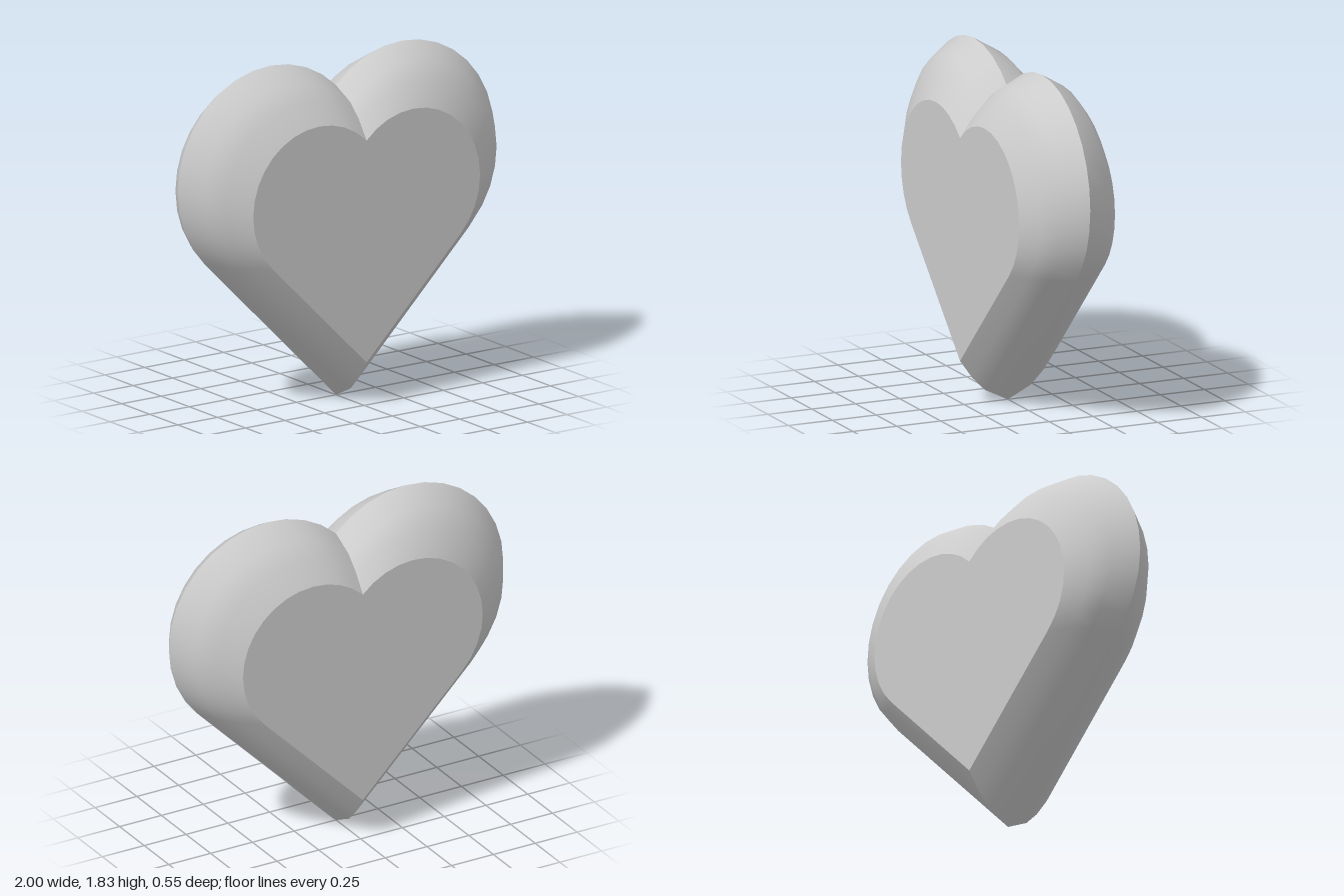
import * as THREE from 'three';
import { toCreasedNormals } from 'three/addons/utils/BufferGeometryUtils.js';

// The heart is a tilted square with a half circle on each upper side
const R = 2 - Math.SQRT2;
const A = R / Math.SQRT2;
const CENTRE_Y = 2 * A;
const ARC_STEPS = 16;

// Bevel sections from back to front: [scale, z]
const HALF = [[1, 0], [0.923, 0.13], [0.835, 0.203], [0.717, 0.273]];
const SECTIONS = [...HALF.slice(1).reverse().map(([s, z]) => [s, -z]), ...HALF];

// Counter-clockwise outline around the heart's centre, starting at the tip
function heartOutline() {
  const right = [];
  for (let i = 0; i <= ARC_STEPS; i++) {
    const t = -Math.PI / 4 + (Math.PI * i) / ARC_STEPS;
    right.push(new THREE.Vector2(A + R * Math.cos(t), A + R * Math.sin(t)));
  }
  right[ARC_STEPS].x = 0; // notch
  const left = right.slice(0, -1).reverse().map((p) => new THREE.Vector2(-p.x, p.y));
  return [new THREE.Vector2(0, -CENTRE_Y), ...right, ...left];
}

// Bevelled rim through all the scaled sections
function rimGeometry(outline) {
  const n = outline.length;
  const positions = [];
  const index = [];
  for (const [s, z] of SECTIONS) {
    for (const p of outline) positions.push(p.x * s, p.y * s, z);
  }
  for (let k = 0; k < SECTIONS.length - 1; k++) {
    for (let i = 0; i < n; i++) {
      const a = k * n + i;
      const b = k * n + ((i + 1) % n);
      index.push(a, b, b + n, a, b + n, a + n);
    }
  }
  const geometry = new THREE.BufferGeometry();
  geometry.setAttribute('position', new THREE.Float32BufferAttribute(positions, 3));
  geometry.setIndex(index);
  return toCreasedNormals(geometry, THREE.MathUtils.degToRad(30));
}

export function createModel() {
  const material = new THREE.MeshStandardMaterial({ color: 0xcccccc });
  const outline = heartOutline();
  const heart = new THREE.Group();
  heart.name = 'heart';

  const rim = new THREE.Mesh(rimGeometry(outline), material);
  rim.name = 'bevelledRim';
  heart.add(rim);

  // Flat heart faces on both sides
  const [scale, depth] = HALF[HALF.length - 1];
  const faceShape = new THREE.Shape(outline.map((p) => p.clone().multiplyScalar(scale)));
  const faceGeometry = new THREE.ShapeGeometry(faceShape);
  for (const [name, side] of [['frontFace', 1], ['backFace', -1]]) {
    const face = new THREE.Mesh(faceGeometry, material);
    face.name = name;
    face.position.z = side * depth;
    if (side < 0) face.rotation.y = Math.PI;
    heart.add(face);
  }

  heart.position.y = CENTRE_Y;
  const model = new THREE.Group();
  model.add(heart);
  return model;
}
